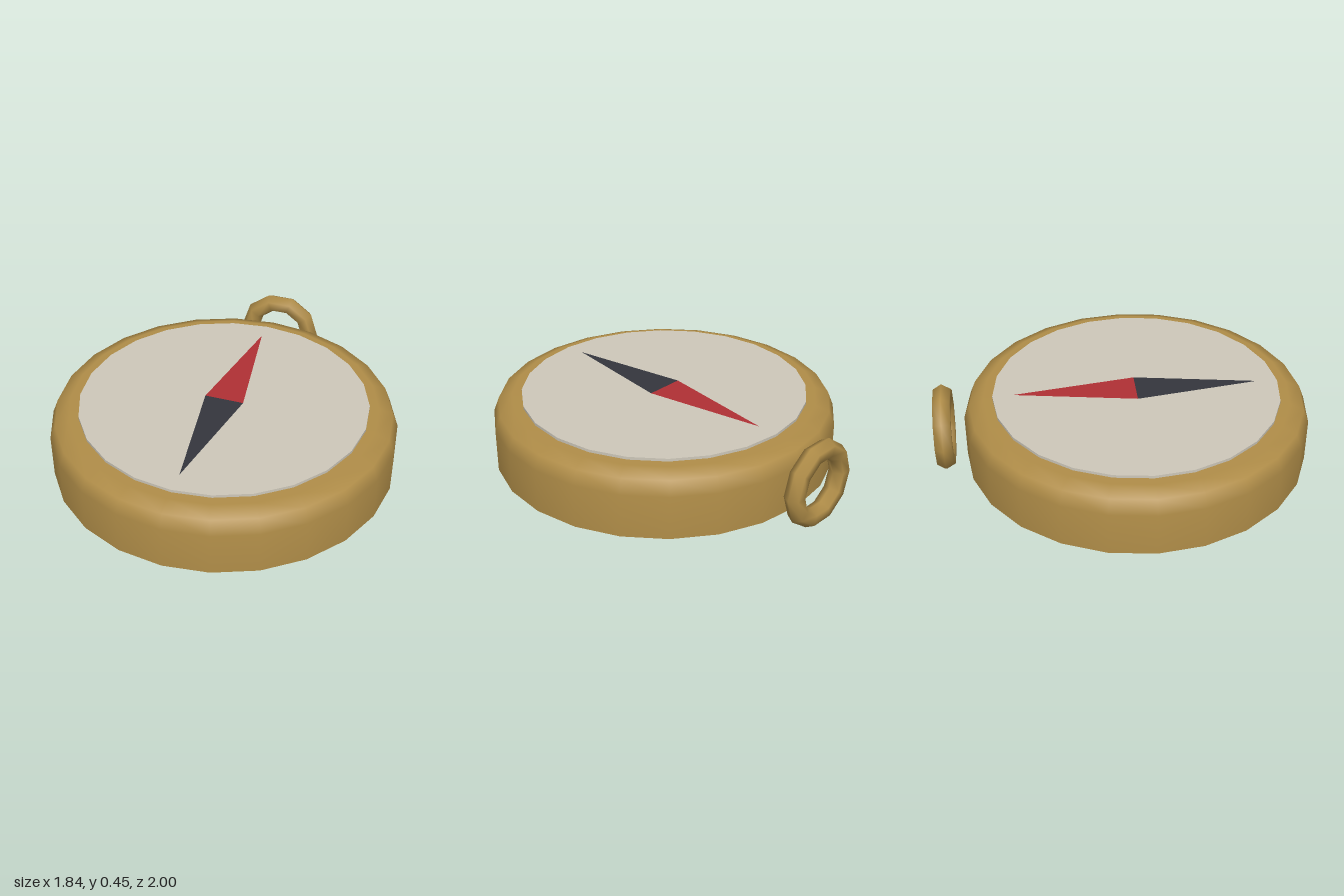
import * as THREE from 'three';

const SIDES = 24;
const CENTRE_Z = 0.075;

const paint = (color, side = THREE.FrontSide) => new THREE.MeshStandardMaterial({ color, side });

function addPart(parent, name, geometry, material) {
  const mesh = new THREE.Mesh(geometry, material);
  mesh.name = name;
  parent.add(mesh);
  return mesh;
}

export function createModel() {
  const model = new THREE.Group();
  model.name = 'compass';
  const body = new THREE.Group();
  body.name = 'body';
  body.position.z = CENTRE_Z;
  model.add(body);

  const brass = paint(0xb08d48, THREE.DoubleSide);
  const ivory = paint(0xcec8ba, THREE.DoubleSide);

  // Hollow case: straight wall, rounded shoulder, flat top, open underneath
  const profile = [[0.92, 0.045], [0.92, 0.28], [0.89, 0.355], [0.815, 0.385], [0, 0.385]]
    .map(([r, y]) => new THREE.Vector2(r, y));
  addPart(body, 'case', new THREE.LatheGeometry(profile, SIDES), brass);

  // Dial: thin band with a flat face just proud of the case
  const band = new THREE.CylinderGeometry(0.765, 0.765, 0.09, SIDES, 1, true);
  addPart(body, 'dialBand', band, ivory).position.y = 0.355;
  const face = new THREE.CircleGeometry(0.765, SIDES).rotateX(-Math.PI / 2);
  addPart(body, 'dialFace', face, ivory).position.y = 0.4;

  // Needle: two flat triangles, tips pointing back and front
  for (const [name, color, turn] of [['northNeedle', 0xb03034, 0], ['southNeedle', 0x34353d, Math.PI]]) {
    const shape = new THREE.Shape();
    shape.moveTo(-0.105, 0).lineTo(0.105, 0).lineTo(0, 0.655).closePath();
    const half = new THREE.ShapeGeometry(shape).rotateX(-Math.PI / 2).rotateY(turn);
    addPart(body, name, half, paint(color, THREE.DoubleSide)).position.set(0, 0.403, -0.003);
  }

  // Hanging loop standing behind the case
  const loop = addPart(model, 'loop', new THREE.TorusGeometry(0.183, 0.052, 6, 10), brass);
  loop.position.set(0, 0.226, -0.955);

  return model;
}
